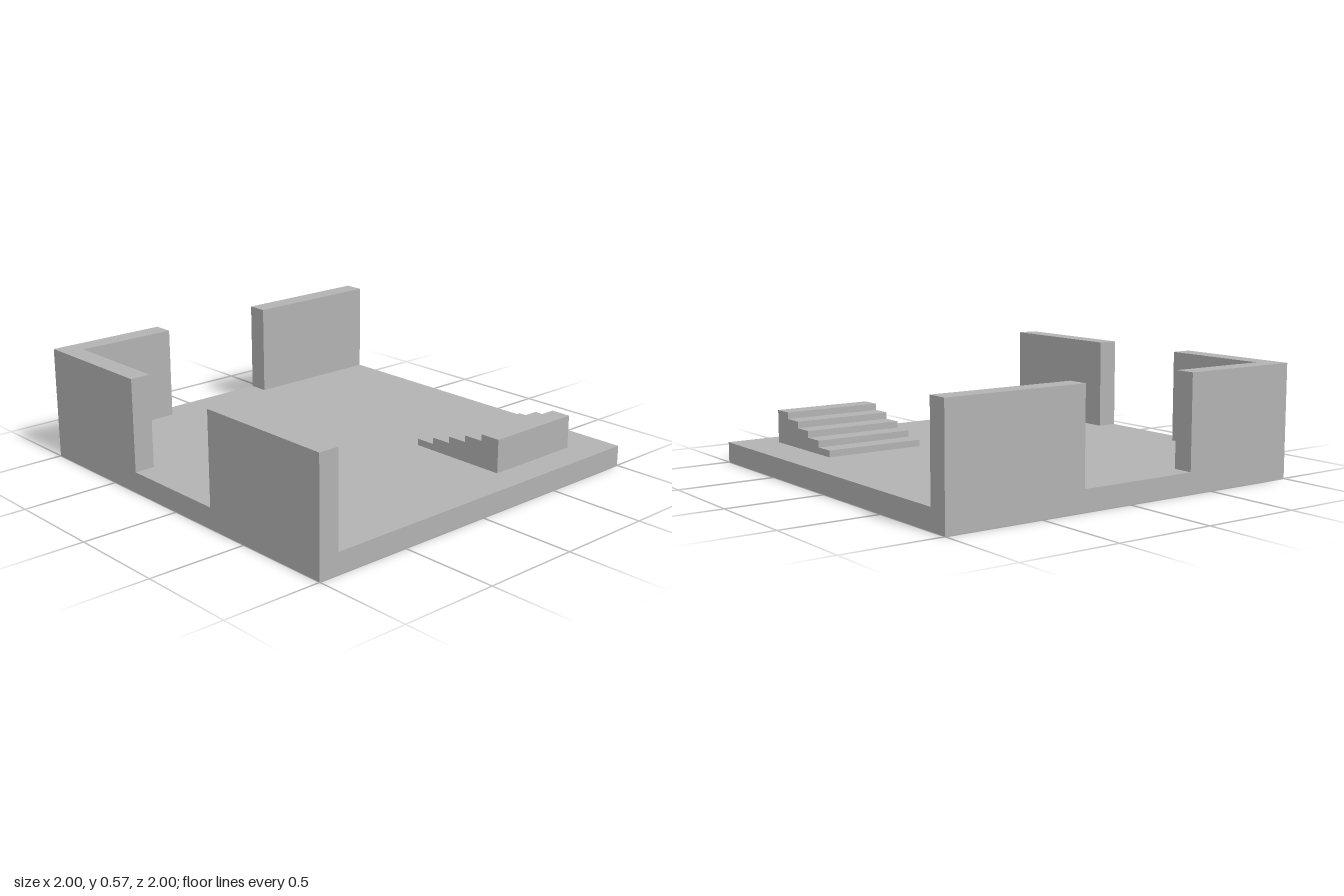
import * as THREE from 'three';

const FLOOR = 0.105, WALL_TOP = 0.57, INNER = 0.895;

export function createModel() {
  const model = new THREE.Group();
  model.name = 'walledCourtyard';
  const stone = new THREE.MeshStandardMaterial({ color: 0xb2b2b2 });
  stone.name = 'plain grey';

  const add = (name, geometry) => {
    const mesh = new THREE.Mesh(geometry, stone);
    mesh.name = name;
    model.add(mesh);
    return mesh;
  };

  // Upright prism from a plan outline of [x, z] corners
  const prism = (name, plan, y0, y1) => {
    const shape = new THREE.Shape(plan.map(([x, z]) => new THREE.Vector2(x, -z)));
    const geometry = new THREE.ExtrudeGeometry(shape, { depth: y1 - y0, bevelEnabled: false });
    geometry.rotateX(-Math.PI / 2).translate(0, y0, 0);
    return add(name, geometry);
  };
  const rect = (x0, x1, z0, z1) => [[x0, z0], [x0, z1], [x1, z1], [x1, z0]];

  // Floor slab
  prism('floor', rect(-1, 1, -1, 1), 0, FLOOR);

  // Walls, with a front doorway and a side doorway
  prism('cornerWall', [
    [-1, 0.37], [-1, 1], [-0.32, 1], [-0.32, INNER], [-INNER, INNER], [-INNER, 0.37],
  ], FLOOR, WALL_TOP);
  prism('frontWall', rect(0.263, 1, INNER, 1), FLOOR, WALL_TOP);
  prism('sideWall', rect(-1, -INNER, -1, -0.265), FLOOR, WALL_TOP);

  // Solid staircase climbing towards +x, extruded from its stepped profile
  const steps = 5, x0 = 0.316, run = 0.1058, rise = 0.0338;
  const profile = new THREE.Shape().moveTo(x0, FLOOR).lineTo(x0 + steps * run, FLOOR);
  for (let i = steps; i > 0; i--) {
    profile.lineTo(x0 + i * run, FLOOR + i * rise);
    profile.lineTo(x0 + (i - 1) * run, FLOOR + i * rise);
  }
  profile.closePath();
  const stairs = new THREE.ExtrudeGeometry(profile, { depth: 0.525, bevelEnabled: false });
  add('staircase', stairs.translate(0, 0, -0.79));

  return model;
}
